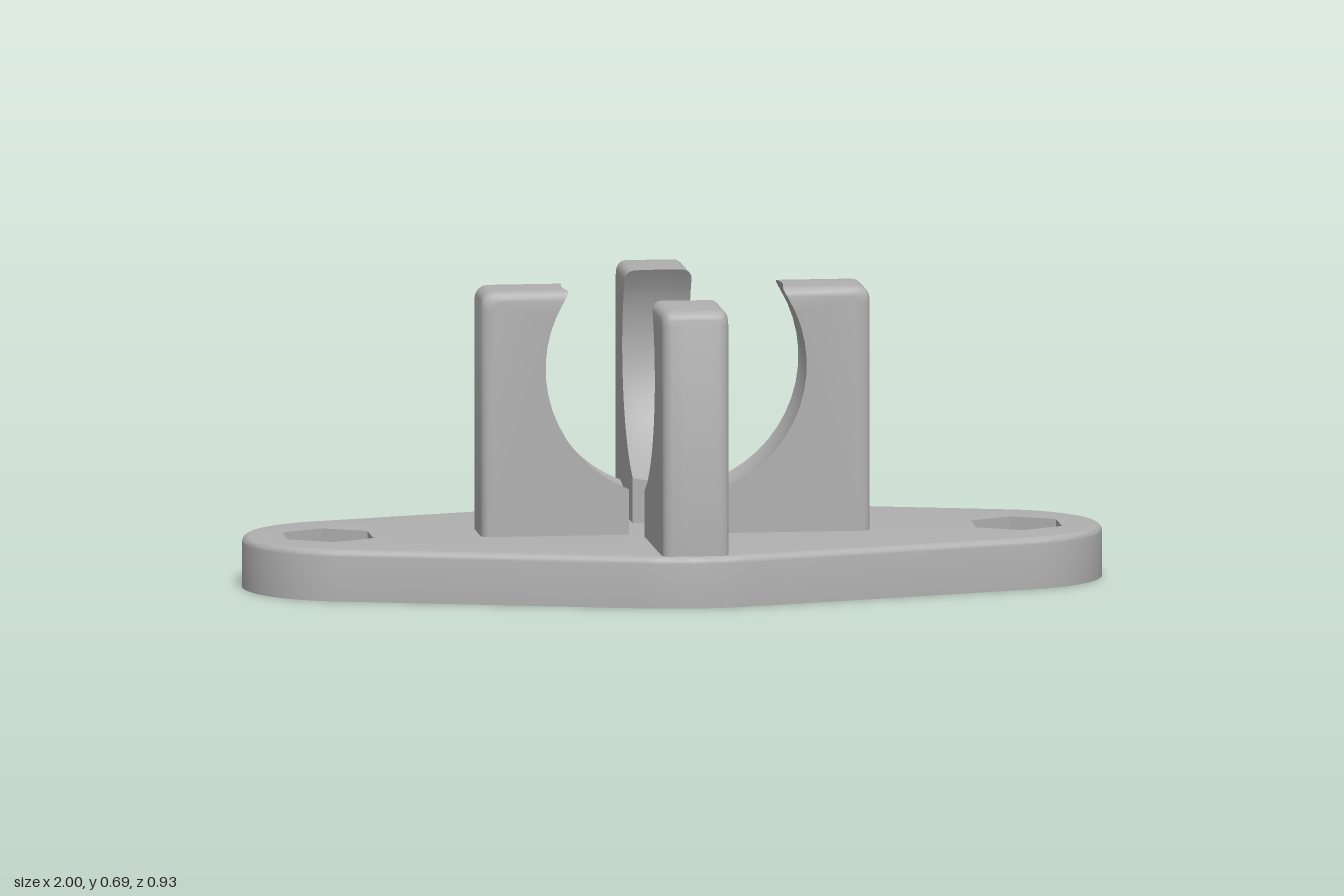
import * as THREE from 'three';
import { mergeGeometries, toCreasedNormals } from 'three/addons/utils/BufferGeometryUtils.js';

const BASE_H = 0.12, POCKET = 0.05, NUT_FLOOR = 0.07, BOLT_X = 0.802;
const V2 = (x, y) => new THREE.Vector2(x, y);

// Points along an arc, ends included
function arc(cx, cy, r, a0, a1, n) {
  return Array.from({ length: n + 1 }, (_, i) => {
    const a = a0 + (a1 - a0) * i / n;
    return V2(cx + r * Math.cos(a), cy + r * Math.sin(a));
  });
}
const ring = (cx, r, n = 32, start = 0) => arc(cx, 0, r, start, start + Math.PI * 2, n).slice(0, n);
const hex = (cx, r) => ring(cx, r, 6, Math.PI / 2);

// Skin between successive [points, height] loops; counter-clockwise loops face outward
function loft(rows) {
  const pos = [];
  const put = ([pts, z], i) => pos.push(pts[i % pts.length].x, pts[i % pts.length].y, z);
  for (let k = 0; k < rows.length - 1; k++) {
    const a = rows[k], b = rows[k + 1];
    for (let i = 0; i < a[0].length; i++) {
      put(a, i); put(a, i + 1); put(b, i + 1);
      put(a, i); put(b, i + 1); put(b, i);
    }
  }
  const g = new THREE.BufferGeometry();
  g.setAttribute('position', new THREE.Float32BufferAttribute(pos, 3));
  return g;
}
const holeWall = (pts, z0, z1) => loft([[[...pts].reverse(), z0], [[...pts].reverse(), z1]]);

// Flat face with holes, looking up or down
function cap(pts, z, up, holes = []) {
  const shape = new THREE.Shape(pts);
  shape.holes = holes.map(h => new THREE.Path(h));
  const flat = new THREE.ShapeGeometry(shape);
  if (!up) flat.index.array.reverse();
  const g = flat.toNonIndexed().translate(0, 0, z);
  g.deleteAttribute('uv');
  g.deleteAttribute('normal');
  return g;
}

// Diamond outline with rounded corners, drawn in by d
const PHI = Math.acos(0.21 / 0.745);
function outline(d) {
  const e = 0.255 - d, m = 0.465 - d, P = Math.PI;
  return [
    ...arc(0.745, 0, e, -PHI, PHI, 24), ...arc(0, 0, m, PHI, P - PHI, 12),
    ...arc(-0.745, 0, e, P - PHI, P + PHI, 24), ...arc(0, 0, m, P + PHI, 2 * P - PHI, 12),
  ];
}

function plateGeometry() {
  const bolts = [-BOLT_X, BOLT_X];
  const centre = ring(0, 0.064), boss = ring(0, 0.146);
  const P = Math.PI, m = 0.395;
  // Underside pocket, stepping around a hexagonal pad at each end
  const pocket = [
    ...arc(0, 0, m, PHI, P - PHI, 12),
    V2(-0.788, 0.181), V2(-0.635, 0.095), V2(-0.635, -0.095), V2(-0.788, -0.181),
    ...arc(0, 0, m, P + PHI, 2 * P - PHI, 12),
    V2(0.788, -0.181), V2(0.635, -0.095), V2(0.635, 0.095), V2(0.788, 0.181),
  ];
  // Outer wall with a small rounded top edge
  const f = 0.016, rows = [[outline(0), 0]];
  for (let i = 0; i <= 4; i++) {
    const a = i / 4 * P / 2;
    rows.push([outline(f * (1 - Math.cos(a))), BASE_H - f + f * Math.sin(a)]);
  }
  const parts = [
    loft(rows),
    cap(outline(f), BASE_H, true, [centre, ...bolts.map(x => hex(x, 0.115))]),
    cap(outline(0), 0, false, [pocket, ...bolts.map(x => ring(x, 0.062))]),
    holeWall(pocket, 0, POCKET),
    cap(pocket, POCKET, false, [boss]),
    holeWall(centre, POCKET, BASE_H),
  ];
  // Nut recesses and bolt holes
  for (const x of bolts) {
    const nut = hex(x, 0.115), bolt = ring(x, 0.062);
    parts.push(holeWall(nut, NUT_FLOOR, BASE_H), cap(nut, NUT_FLOOR, true, [bolt]), holeWall(bolt, 0, NUT_FLOOR));
  }
  return toCreasedNormals(mergeGeometries(parts).rotateX(-P / 2), 0.5);
}

// Ring around the centre hole, under the plate
function bossGeometry() {
  const outer = ring(0, 0.146), inner = ring(0, 0.064);
  const g = mergeGeometries([
    loft([[outer, 0], [outer, POCKET]]), holeWall(inner, 0, POCKET), cap(outer, 0, false, [inner]),
  ]);
  return toCreasedNormals(g.rotateX(-Math.PI / 2), 0.5);
}

// Gripping arm pointing along +x: side profiles lofted across its width, inner face cut by a ball
function armGeometry() {
  const half = 0.078, f = 0.022, c = 0.03, inner = 0.11, ballY = 0.51, ballR = 0.314;
  const profile = (w, e) => {
    const out = 0.453 - e, top = 0.69 - e, r = Math.sqrt(ballR * ballR - w * w);
    return [
      V2(inner, BASE_H), V2(out, BASE_H),
      ...arc(out - c, top - c, c, 0, Math.PI / 2, 5),
      ...arc(0, ballY, r, Math.asin((top - ballY) / r), -Math.acos(inner / r), 14),
    ];
  };
  const edge = [];
  for (let i = 0; i <= 4; i++) {
    const a = i / 4 * Math.PI / 2;
    edge.push([half - f + f * Math.sin(a), f * (1 - Math.cos(a))]);
  }
  const steps = [...edge.map(([w, e]) => [-w, e]).reverse(), [-0.028, 0], [0, 0], [0.028, 0], ...edge];
  const rows = steps.map(([w, e]) => [profile(w, e), w]);
  const end = profile(half, f);
  return toCreasedNormals(mergeGeometries([loft(rows), cap(end, half, true), cap(end, -half, false)]), 0.5);
}

export function createModel() {
  const grey = new THREE.MeshStandardMaterial({ color: 0xb0b0b0 });
  grey.name = 'grey plastic';
  const model = new THREE.Group();
  model.name = 'clampMount';
  const body = new THREE.Group();
  body.name = 'clampBody';
  body.rotation.y = -0.01;
  model.add(body);

  const add = (name, geometry) => {
    const mesh = new THREE.Mesh(geometry, grey);
    mesh.name = name;
    body.add(mesh);
    return mesh;
  };
  add('basePlate', plateGeometry());
  add('centreBoss', bossGeometry());
  const arm = armGeometry();
  ['leftArm', 'backArm', 'rightArm', 'frontArm'].forEach((name, i) => {
    add(name, arm).rotation.y = i * Math.PI / 2;
  });
  return model;
}
